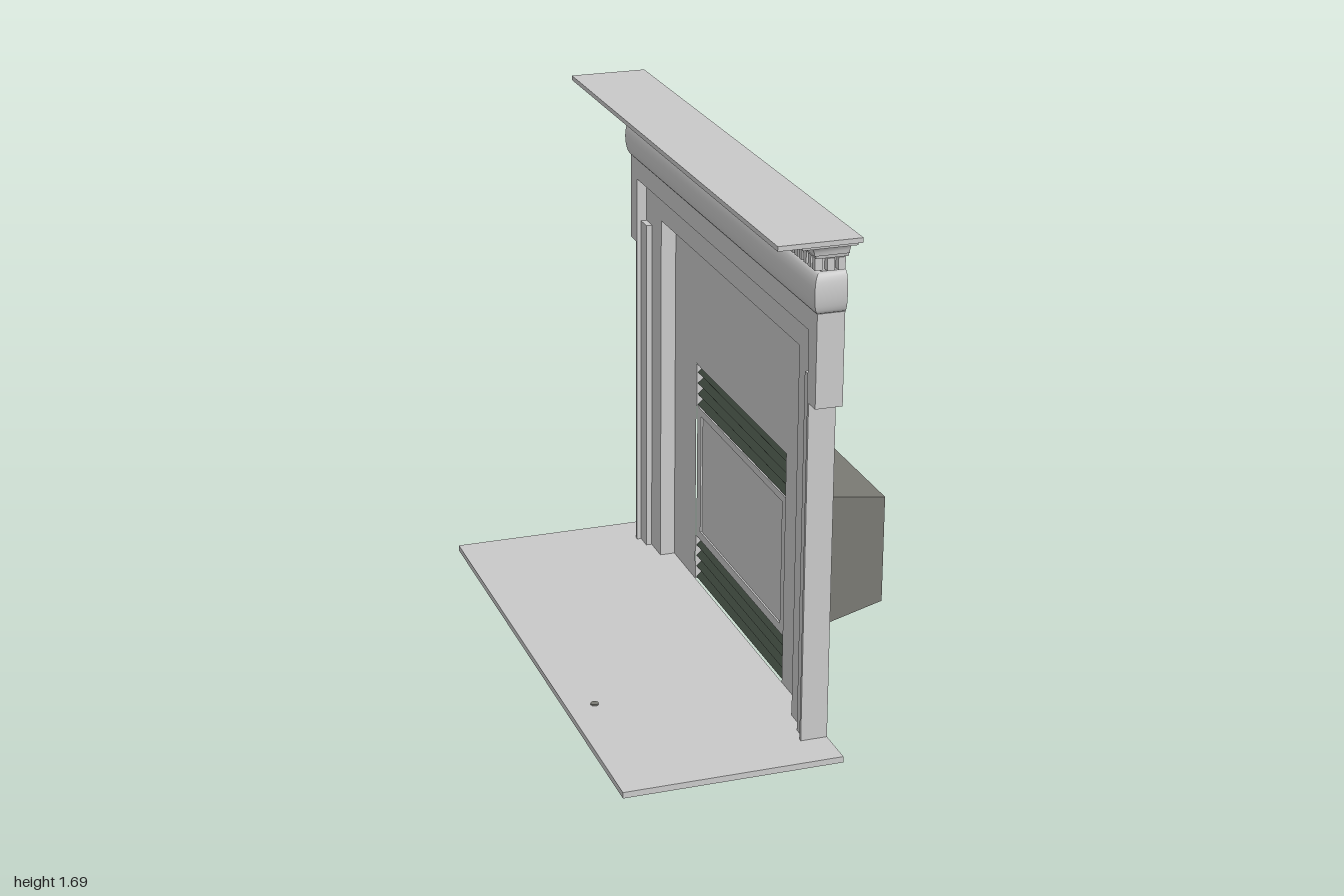
import * as THREE from 'three';
import { toCreasedNormals } from 'three/addons/utils/BufferGeometryUtils.js';
import { ConvexGeometry } from 'three/addons/geometries/ConvexGeometry.js';

const mat = (name, color) => new THREE.MeshStandardMaterial({ name, color, side: THREE.DoubleSide });

export function createModel() {
  const stone = mat('pale grey stone', 0xc8c8c8);
  const steel = mat('dark grey steel', 0x7a7a74);
  const louvre = mat('dark green louvre', 0x3c463c);

  // Local frame: x along the width, z = 0 at the wall, +z into the room
  const model = new THREE.Group();
  model.name = 'fireplace';
  model.rotation.y = -0.555;
  model.position.set(0.171, 0, -0.295);

  const add = (name, geo, material, x = 0, y = 0, z = 0) => {
    const mesh = new THREE.Mesh(geo, material);
    mesh.name = name;
    mesh.position.set(x, y, z);
    model.add(mesh);
    return mesh;
  };
  // Box given by its extents
  const box = (name, x0, x1, y0, y1, z0, z1, m = stone) =>
    add(name, new THREE.BoxGeometry(x1 - x0, y1 - y0, z1 - z0), m, (x0 + x1) / 2, (y0 + y1) / 2, (z0 + z1) / 2);

  // Mirror a half outline (right side, bottom to top) into a full one
  const mirrored = (half) => [...half.map(([x, y]) => [-x, y]), ...[...half].reverse()];
  const shapeOf = (pts) => new THREE.Shape(pts.map(([x, y]) => new THREE.Vector2(x, y)));
  const plate = (name, pts, z) => add(name, new THREE.ShapeGeometry(shapeOf(pts)), stone, 0, 0, z);
  const rect = (x0, x1, y0, y1) => [[x0, y0], [x1, y0], [x1, y1], [x0, y1]];

  // Surface between rows of points, with creased normals
  const sheet = (name, rows, material = stone) => {
    const v = [];
    for (let i = 0; i + 1 < rows.length; i++) {
      for (let j = 0; j + 1 < rows[i].length; j++) {
        const a = rows[i][j], b = rows[i][j + 1], c = rows[i + 1][j + 1], d = rows[i + 1][j];
        v.push(...a, ...b, ...c, ...a, ...c, ...d);
      }
    }
    const geo = new THREE.BufferGeometry();
    geo.setAttribute('position', new THREE.Float32BufferAttribute(v, 3));
    geo.computeVertexNormals();
    return add(name, toCreasedNormals(geo, 0.6), material);
  };
  // Wall standing on an outline between two depths, facing outwards
  const wall = (name, pts, z0, z1) =>
    sheet(name, [pts.map(([x, y]) => [x, y, z0]), pts.map(([x, y]) => [x, y, z1])]);

  // Hearth slab with a small gas valve
  box('hearth', -0.941, 0.941, 0, 0.02, 0, 0.706);
  add('valve', new THREE.CylinderGeometry(0.013, 0.013, 0.005, 12), steel, 0.374, 0.0225, 0.615);

  // Outer surround: thin legs, eared frieze, open at the back
  const F = 0.0865;
  const outer = mirrored([[0.806, 0.02], [0.806, 1.135], [0.858, 1.135], [0.858, 1.43]]);
  const inner = mirrored([[0.794, 0.02], [0.794, 1.36]]);
  plate('surroundFace', [...outer, ...[...inner].reverse()], F);
  wall('surroundEdge', outer, 0, F);
  wall('surroundReveal', [...inner].reverse(), 0.052, F);

  // Pilaster strips inside the legs
  for (const s of [-1, 1]) {
    plate('pilaster', rect(Math.min(s * 0.735, s * 0.794), Math.max(s * 0.735, s * 0.794), 0.02, 1.21), 0.072);
    const edge = [[s * 0.735, 0.02], [s * 0.735, 1.21], [s * 0.794, 1.21]];
    wall('pilasterEdge', s > 0 ? edge : edge.reverse(), 0.052, 0.072);
  }

  // Inner frame around the slip panel
  const eared = mirrored([[0.735, 0.02], [0.735, 1.21], [0.794, 1.21], [0.794, 1.36]]);
  const opening = mirrored([[0.638, 0.02], [0.638, 1.255]]);
  plate('innerFrame', [...eared, ...[...opening].reverse()], 0.052);
  wall('innerReveal', [...opening].reverse(), 0, 0.052);

  // Slip panels around the fire
  const W = 0.418;
  plate('upperSlip', rect(-0.638, 0.638, 0.895, 1.255), 0);
  plate('lintelSlip', rect(-W, W, 0.815, 0.895), 0);
  plate('leftSlip', rect(W, 0.638, 0.02, 0.895), 0);
  plate('rightSlip', rect(-0.638, -W, 0.02, 0.895), 0);

  // Cornice: a profile of [overhang, height] carried round three sides
  const profile = [];
  for (let i = 0; i <= 10; i++) {
    const a = Math.PI * i / 10;
    profile.push([0.018 * Math.sin(a) - 0.002, 1.4925 - 0.0625 * Math.cos(a)]);
  }
  profile.push([-0.012, 1.555], [-0.012, 1.603], [0.014, 1.603], [0.016, 1.612]);
  for (let i = 0; i <= 6; i++) {
    const a = Math.PI / 2 * i / 6;
    profile.push([0.022 + 0.05 * (1 - Math.cos(a)), 1.614 + 0.043 * Math.sin(a)]);
  }
  profile.push([0.084, 1.657], [0.086, 1.675]);
  const S = 0.858;
  const ring = ([o, y]) => [[-S - o, y, 0], [-S - o, y, F + o], [S + o, y, F + o], [S + o, y, 0]];
  sheet('cornice', profile.map(ring));
  box('mantelShelf', -0.977, 0.977, 1.675, 1.69, 0, 0.259);

  // Cornice back board, following the moulding at one end
  plate('corniceBack', [[-0.77, 1.43], ...profile.map(([o, y]) => [S + Math.min(o, 0.05), y]), [-0.77, 1.675]], 0.001);

  // Dentils along the front and both returns
  const teeth = 50;
  for (let i = 0; i < teeth; i++) {
    const x = -0.845 + 1.69 * i / (teeth - 1);
    box('dentil', x - 0.011, x + 0.011, 1.562, 1.6, F - 0.013, F + 0.01);
  }
  for (const s of [-1, 1]) {
    for (const z of [0.018, 0.052]) {
      const x = s * (S - 0.001);
      box('returnDentil', x - 0.011, x + 0.011, 1.562, 1.6, z - 0.011, z + 0.011);
    }
  }

  // Louvre banks above and below the door
  for (const [y0, y1] of [[0.02, 0.18], [0.66, 0.815]]) {
    box('louvreBack', -W, W, y0, y1, -0.057, -0.053);
    for (const s of [-1, 1]) box('louvreEnd', s * W - 0.002, s * W + 0.002, y0, y1, -0.055, -0.001);
    const n = 4, pitch = (y1 - y0) / n;
    for (let i = 0; i < n; i++) {
      const slat = add('louvreSlat', new THREE.BoxGeometry(2 * W + 0.006, 0.009, 0.052), louvre,
        0, y0 + pitch * (i + 0.5), -0.027);
      slat.rotation.x = 0.7;
    }
  }
  box('insertTop', -W, W, 0.812, 0.816, -0.057, -0.001);

  // Door frame with a slightly sunken pane
  const door = shapeOf(rect(-W, W, 0.18, 0.66));
  door.holes.push(shapeOf(rect(-0.38, 0.38, 0.21, 0.635)));
  add('doorFrame', new THREE.ExtrudeGeometry(door, { depth: 0.007, bevelEnabled: false }), stone, 0, 0, -0.011);
  plate('doorPane', rect(-0.38, 0.38, 0.21, 0.635), -0.01);

  // Firebox tapering to the rear, with a sloping roof
  const corners = [];
  for (const s of [-1, 1]) {
    for (const [x, y, z] of [[W, 0.66, -0.012], [W, 0.66, -0.055], [0.267, 0.55, -0.405]]) {
      corners.push(new THREE.Vector3(s * x, y, z), new THREE.Vector3(s * x, 0.18, z));
    }
  }
  add('firebox', new ConvexGeometry(corners), steel);

  // Flue pipe, both ends cut parallel to the roof
  const flue = new THREE.CylinderGeometry(0.058, 0.058, 0.305, 32);
  const p = flue.attributes.position;
  for (let i = 0; i < p.count; i++) p.setY(i, p.getY(i) + 0.31 * p.getZ(i));
  flue.computeVertexNormals();
  add('flue', flue, steel, -0.007, 0.766, -0.19);

  return model;
}
